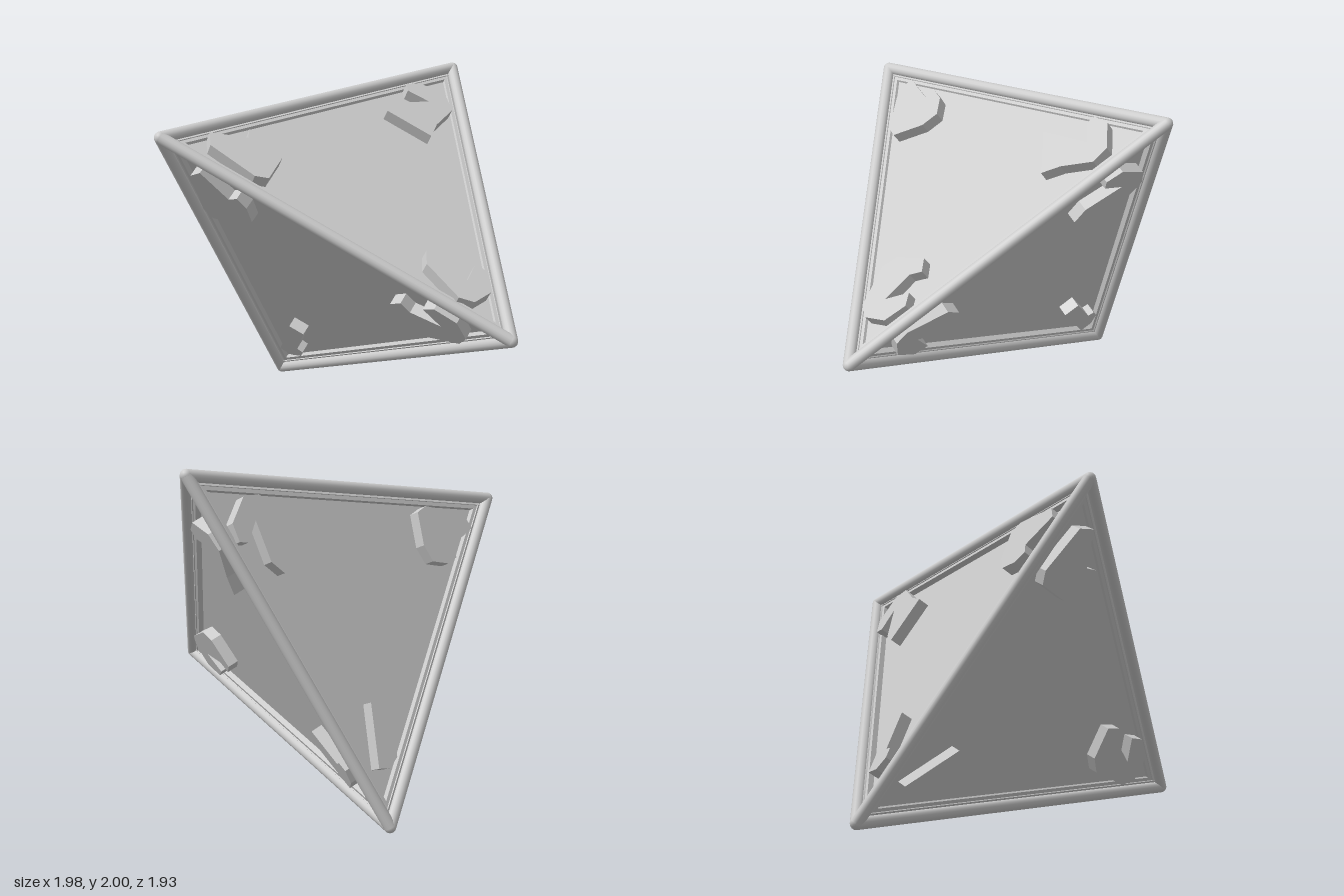
import * as THREE from 'three';

const V = (x, y, z) => new THREE.Vector3(x, y, z);
const material = new THREE.MeshStandardMaterial({ color: 0xcccccc });

// Centres of the rounded corners
const corners = [V(-0.955, 1.76, 0.93), V(0.17, 1.965, -0.93), V(0.95, 0.72, 0.685), V(-0.83, 0.035, -0.47)];
const RIM = 0.035;     // ridge radius
const LEDGE = -0.005;  // ledge height relative to the corner plane
const FLOOR = -0.04;   // recessed panel height

// One marker outline per corner: x runs right, y = 0 is the corner, y points outward
const markerOutlines = [
  // wedge plate
  [[-0.02, -0.27], [0.08, -0.27], [0.09, -0.49], [0.16, -0.5], [0.16, -0.58], [0.09, -0.68], [-0.02, -0.68], [-0.2, -0.59], [-0.2, -0.51]],
  // square plate with a side notch
  [[-0.17, -0.74], [0.13, -0.74], [0.12, -0.62], [0.15, -0.42], [0.08, -0.34], [-0.1, -0.34], [-0.17, -0.42], [-0.14, -0.47], [0, -0.46], [-0.16, -0.64]],
  // chamfered plate with a side notch
  [[0.06, -0.28], [0.13, -0.34], [0.16, -0.6], [0.1, -0.68], [-0.09, -0.72], [-0.13, -0.64], [-0.06, -0.6], [0, -0.42], [-0.13, -0.5], [-0.16, -0.42], [-0.08, -0.3]],
  // stepped bar
  [[0.05, -0.32], [0.05, -0.69], [-0.05, -0.69], [-0.05, -0.45], [-0.09, -0.44], [-0.09, -0.38], [-0.03, -0.32]],
];

function mesh(name, geometry) {
  const m = new THREE.Mesh(geometry, material);
  m.name = name;
  return m;
}

function polygon(points) {
  return new THREE.Shape(points.map(([x, y]) => new THREE.Vector2(x, y)));
}

function extrude(shape, from, to) {
  return new THREE.ExtrudeGeometry(shape, { depth: to - from, bevelEnabled: false }).translate(0, 0, from);
}

// Group whose z is the outward normal and whose y points along "up"
function frame(name, origin, up, normal) {
  const g = new THREE.Group();
  g.name = name;
  const y = up.clone().normalize();
  const x = y.clone().cross(normal);
  g.quaternion.setFromRotationMatrix(new THREE.Matrix4().makeBasis(x, y, normal));
  g.position.copy(origin);
  g.updateMatrix();
  return g;
}

// Rounded ridge between two corners
function ridge(a, b) {
  const dir = b.clone().sub(a);
  const m = mesh('edgeRidge', new THREE.CylinderGeometry(RIM, RIM, dir.length(), 16, 1, true));
  m.position.copy(a).add(b).multiplyScalar(0.5);
  m.quaternion.setFromUnitVectors(V(0, 1, 0), dir.normalize());
  return m;
}

// Recessed panel, stepped border and three raised markers of one side
function side(opposite) {
  const ids = [0, 1, 2, 3].filter((i) => i !== opposite);
  const [a, b, c] = ids.map((i) => corners[i]);
  const centre = a.clone().add(b).add(c).divideScalar(3);
  const normal = b.clone().sub(a).cross(c.clone().sub(a)).normalize();
  if (normal.dot(corners[opposite].clone().sub(a)) > 0) normal.negate();

  const g = new THREE.Group();
  g.name = 'side';
  const base = frame('panelWithBorder', centre, a.clone().sub(centre), normal);
  const inverse = base.matrix.clone().invert();
  const inset = (w) => ids.map((i) => {
    const p = corners[i].clone().applyMatrix4(inverse).multiplyScalar(1 - w / 0.635);
    return [p.x, p.y];
  });
  const border = polygon(inset(0.015));
  border.holes.push(polygon(inset(0.07)));
  base.add(mesh('border', extrude(border, FLOOR - 0.005, LEDGE)));
  const panel = mesh('panel', new THREE.ShapeGeometry(polygon(inset(0.06))));
  panel.position.z = FLOOR;
  base.add(panel);
  g.add(base);

  for (const i of ids) {
    const f = frame('cornerMarker', corners[i], corners[i].clone().sub(centre), normal);
    f.add(mesh('markerPlate', extrude(polygon(markerOutlines[i]), FLOOR - 0.005, FLOOR + 0.07)));
    g.add(f);
  }
  return g;
}

export function createModel() {
  const model = new THREE.Group();
  model.name = 'tetrahedron';
  corners.forEach((p, i) => {
    const ball = mesh('roundedCorner', new THREE.SphereGeometry(RIM, 16, 12));
    ball.position.copy(p);
    model.add(ball, side(i));
    for (let j = i + 1; j < 4; j++) model.add(ridge(p, corners[j]));
  });
  return model;
}
